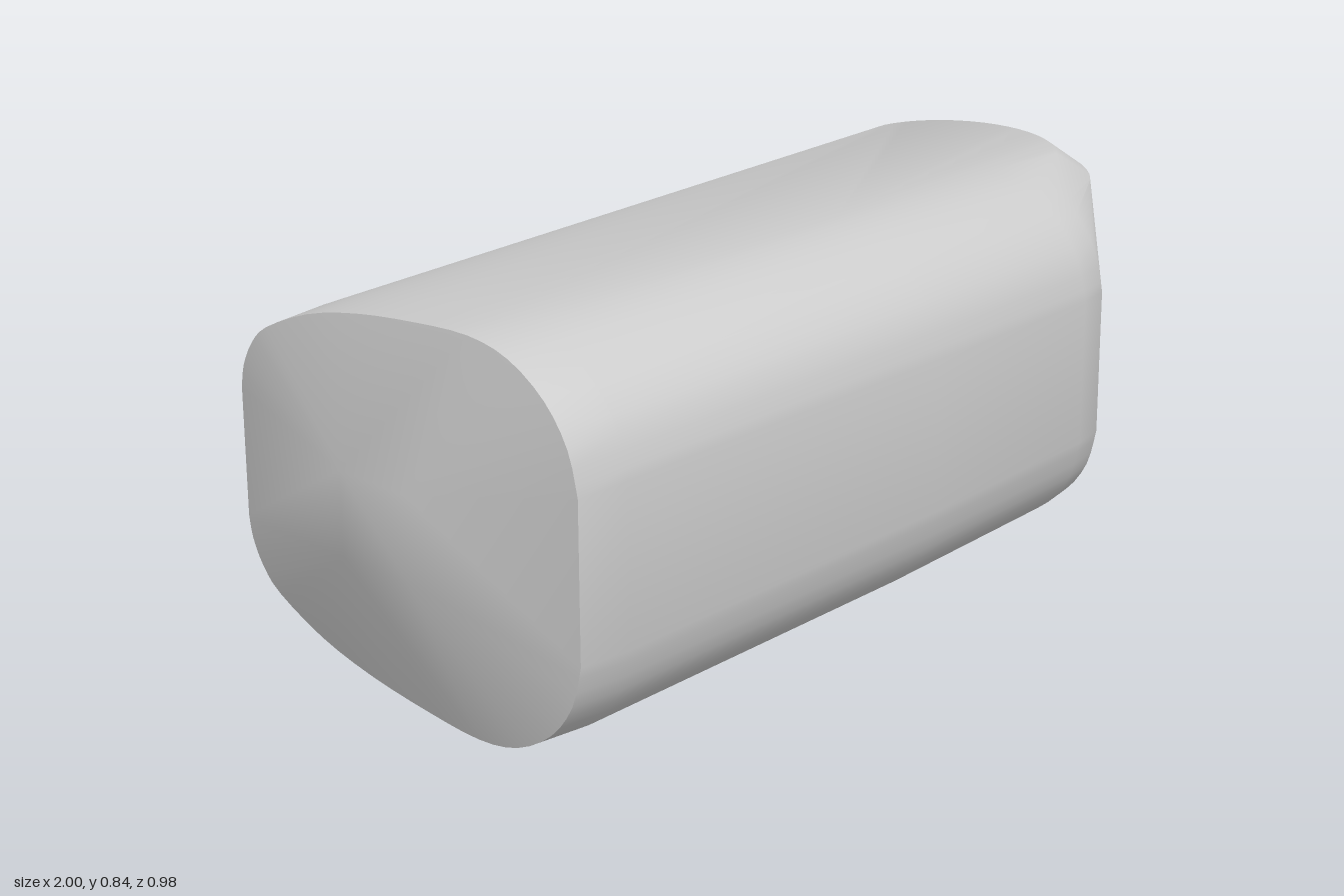
import * as THREE from 'three';
import { toCreasedNormals } from 'three/addons/utils/BufferGeometryUtils.js';
import { ConvexGeometry } from 'three/addons/geometries/ConvexGeometry.js';

const MID = 0.42; // height of the horizontal mirror plane

export function createModel() {
  const points = [];
  // adds a point and its twin mirrored about mid height
  const add = (x, h, z) => {
    points.push(new THREE.Vector3(x, MID + h, z), new THREE.Vector3(x, MID - h, z));
  };

  // upper half of the body's cross-section (z, height above middle), front to back
  const profile = new THREE.SplineCurve([
    [0.49, 0.17], [0.465, 0.26], [0.405, 0.34], [0.31, 0.398], [0.2, 0.418],
    [0.05, 0.408], [-0.12, 0.385], [-0.27, 0.348], [-0.4, 0.29],
    [-0.45, 0.245], [-0.48, 0.19], [-0.49, 0.14],
  ].map(([z, h]) => new THREE.Vector2(z, h))).getPoints(33);

  // cross-sections along the body: x, z scale, height scale, rearmost z kept
  for (const [x, sz, sh, zMin] of [
    [-0.92, 0.985, 0.985, -1],
    [-0.8, 1, 1, -1],
    [0.1, 0.973, 0.978, 0.19],
    [0.6, 0.935, 0.945, 0.19],
    [0.68, 0.902, 0.935, 0.19],
  ]) {
    for (const p of profile) if (p.x >= zMin) add(x, p.y * sh, p.x * sz);
  }

  // shallow bulge of the back wall
  add(-0.25, 0.08, -0.475);
  add(0.12, 0.01, -0.44);

  // blunt tip of the flat end
  for (const z of [-0.09, 0.1]) add(-1, 0.09, z);

  // rounded end: upright wall and its bevelled rim
  for (const [rx, rz, h] of [[0.3, 0.31, 0.33], [0.22, 0.235, 0.388]]) {
    for (let deg = -80; deg <= 55; deg += 7.5) {
      const a = THREE.MathUtils.degToRad(deg);
      add(0.7 + rx * Math.cos(a), h, rz * Math.sin(a));
    }
  }

  const geometry = toCreasedNormals(new ConvexGeometry(points), THREE.MathUtils.degToRad(36));
  const body = new THREE.Mesh(geometry, new THREE.MeshStandardMaterial({ color: 0xcccccc }));
  body.name = 'body';

  const model = new THREE.Group();
  model.name = 'roundedBlock';
  model.add(body);
  return model;
}
